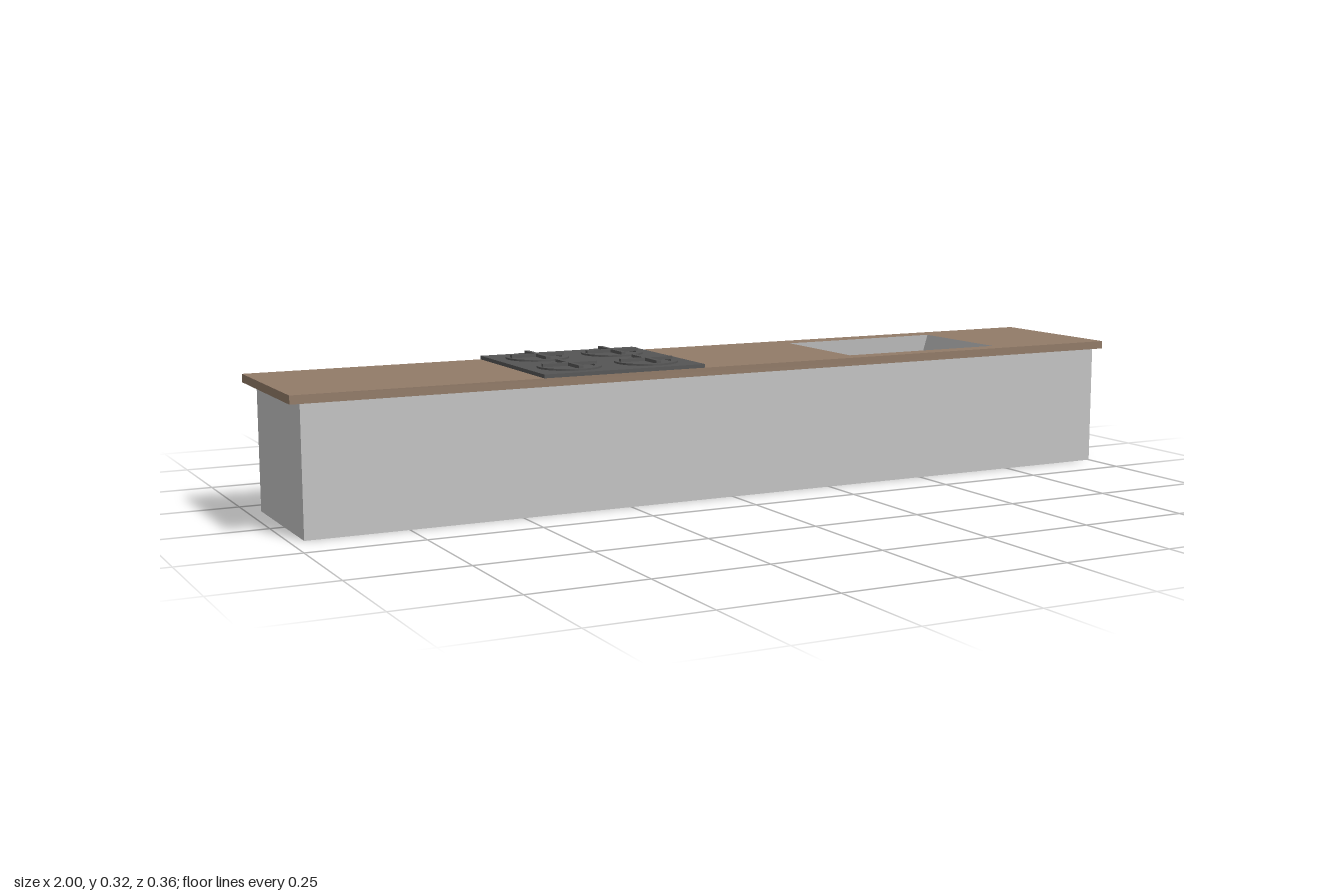
import * as THREE from 'three';

export function createModel() {
  const model = new THREE.Group();
  model.name = 'kitchenCounter';

  const material = (name, color, side = THREE.FrontSide) => {
    const m = new THREE.MeshStandardMaterial({ color, side });
    m.name = name;
    return m;
  };
  const cabinetGrey = material('cabinetGrey', 0xc4c4c4);
  const woodBrown = material('woodBrown', 0x927b68);
  const sinkGrey = material('sinkGrey', 0xababab, THREE.DoubleSide);
  const hobDark = material('hobDark', 0x555555);

  const add = (name, geometry, mat, parent = model) => {
    const mesh = new THREE.Mesh(geometry, mat);
    mesh.name = name;
    parent.add(mesh);
    return mesh;
  };
  // Box given by its minimum and maximum corners
  const box = (x0, y0, z0, x1, y1, z1) =>
    new THREE.BoxGeometry(x1 - x0, y1 - y0, z1 - z0)
      .translate((x0 + x1) / 2, (y0 + y1) / 2, (z0 + z1) / 2);

  const back = -0.182, front = 0.182, under = 0.28, top = 0.298;

  // Cabinet: a box without its top face, so the basin can sink into it
  const body = box(-0.97, 0, back, 1, under, 0.146);
  const faces = Array.from(body.index.array);
  faces.splice(12, 6);
  body.setIndex(faces);
  body.clearGroups();
  add('cabinet', body, cabinetGrey);

  // Worktop with a rectangular cut-out for the sink
  const rim = { x0: 0.305, x1: 0.704, z0: -0.13, z1: 0.14 };
  const floor = { x0: 0.345, x1: 0.664, z0: -0.115, z1: 0.125 };
  const rectangle = (C, x0, z0, x1, z1) => new C([
    new THREE.Vector2(x0, -z1), new THREE.Vector2(x1, -z1),
    new THREE.Vector2(x1, -z0), new THREE.Vector2(x0, -z0)]);
  const slab = rectangle(THREE.Shape, -1, back, 1, front);
  slab.holes.push(rectangle(THREE.Path, rim.x0, rim.z0, rim.x1, rim.z1));
  const slabGeometry = new THREE.ExtrudeGeometry(slab, { depth: top - under, bevelEnabled: false });
  add('worktop', slabGeometry.rotateX(-Math.PI / 2).translate(0, under, 0), woodBrown);

  // Sink: four sloping walls and a flat floor, facing inwards
  const corners = (r, y) => [[r.x0, y, r.z1], [r.x1, y, r.z1], [r.x1, y, r.z0], [r.x0, y, r.z0]];
  const upper = corners(rim, top), lower = corners(floor, 0.205);
  const points = [];
  const quad = (a, b, c, d) => points.push(...a, ...b, ...c, ...a, ...c, ...d);
  quad(...lower);
  for (let i = 0; i < 4; i++) {
    const j = (i + 1) % 4;
    quad(lower[j], lower[i], upper[i], upper[j]);
  }
  const basin = new THREE.BufferGeometry();
  basin.setAttribute('position', new THREE.Float32BufferAttribute(points, 3));
  basin.computeVertexNormals();
  add('sinkBasin', basin, sinkGrey);

  // Hob plate across the full depth of the worktop
  const plateTop = 0.306;
  add('hobPlate', box(-0.465, top, back, -0.09, plateTop, front), hobDark);

  // Burners: a flat ring with a raised cross on it
  const ringShape = new THREE.Shape().absarc(0, 0, 0.07, 0, Math.PI * 2);
  ringShape.holes.push(new THREE.Path().absarc(0, 0, 0.055, 0, Math.PI * 2, true));
  const ring = new THREE.ExtrudeGeometry(ringShape, { depth: 0.004, bevelEnabled: false, curveSegments: 24 });
  ring.rotateX(-Math.PI / 2);
  const bar = box(-0.0625, 0.003, -0.005, 0.0625, 0.01, 0.005);
  for (const x of [-0.368, -0.186]) {
    for (const z of [-0.087, 0.089]) {
      const burner = new THREE.Group();
      burner.name = 'burner';
      burner.position.set(x, plateTop, z);
      add('burnerRing', ring, hobDark, burner);
      add('burnerBarAcross', bar, hobDark, burner);
      add('burnerBarAlong', bar, hobDark, burner).rotation.y = Math.PI / 2;
      model.add(burner);
    }
  }

  return model;
}
